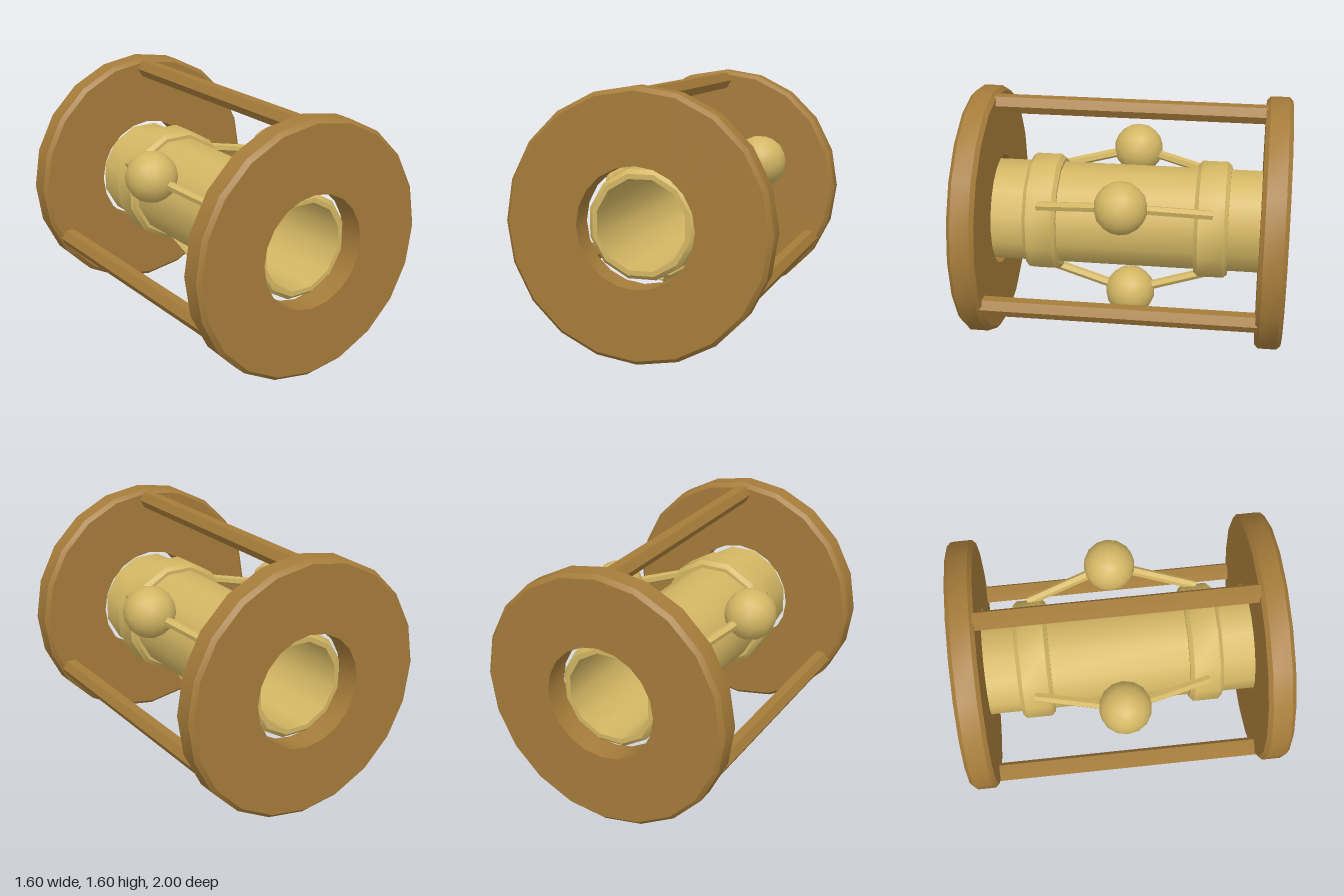
import * as THREE from 'three';
import { toCreasedNormals } from 'three/addons/utils/BufferGeometryUtils.js';

const AXIS_Y = 0.8;

export function createModel() {
  const model = new THREE.Group();
  const wood = new THREE.MeshStandardMaterial({ color: 0xa67c3a });
  wood.name = 'brown';
  const pale = new THREE.MeshStandardMaterial({ color: 0xd4b764 });
  pale.name = 'sand';

  const add = (name, geometry, material, x = 0, y = AXIS_Y, z = 0) => {
    const mesh = new THREE.Mesh(geometry, material);
    mesh.name = name;
    mesh.position.set(x, y, z);
    model.add(mesh);
    return mesh;
  };

  // Hollow ring around the z axis, with its outer edges chamfered
  const ring = (inner, outer, length, bevel, sides, start) => {
    const h = length / 2;
    const profile = [
      [inner, -h], [outer - bevel, -h], [outer, -h + bevel],
      [outer, h - bevel], [outer - bevel, h], [inner, h], [inner, -h],
    ].map(([r, t]) => new THREE.Vector2(r, t));
    const g = new THREE.LatheGeometry(profile, sides, start);
    g.rotateX(Math.PI / 2);
    return toCreasedNormals(g, 0.6);
  };

  // Six-sided rod between two points
  const rod = (name, a, b, radius, material) => {
    const dir = b.clone().sub(a);
    const g = new THREE.CylinderGeometry(radius, radius, dir.length(), 6);
    g.rotateY(Math.PI / 6);
    const mesh = add(name, toCreasedNormals(g, 0.6), material);
    mesh.position.copy(a).add(b).multiplyScalar(0.5);
    mesh.quaternion.setFromUnitVectors(new THREE.Vector3(0, 1, 0), dir.normalize());
  };

  const polar = (angle, r, z) =>
    new THREE.Vector3(Math.cos(angle) * r, AXIS_Y + Math.sin(angle) * r, z);

  // Central hollow tube
  add('tube', ring(0.275, 0.33, 1.8, 0.025, 12, Math.PI / 12), pale);

  // End discs and tube collars
  for (const [side, s] of [['front', 1], ['back', -1]]) {
    add(side + 'Disc', ring(0.355, 0.8, 0.165, 0.025, 20, 0), wood, 0, AXIS_Y, s * 0.9175);
    add(side + 'Collar', ring(0.31, 0.378, 0.21, 0.025, 12, Math.PI / 12), pale, 0, AXIS_Y, s * 0.535);
  }

  for (let i = 0; i < 3; i++) {
    // Long bars joining the discs
    const barAngle = Math.PI / 2 + (i * Math.PI * 2) / 3;
    rod('bar' + (i + 1), polar(barAngle, 0.73, -0.85), polar(barAngle, 0.73, 0.85), 0.06, wood);

    // Balls between the bars, each held by two struts
    const ballAngle = Math.PI / 6 + (i * Math.PI * 2) / 3;
    const p = polar(ballAngle, 0.55, 0);
    add('ball' + (i + 1), new THREE.IcosahedronGeometry(0.163, 2), pale, p.x, p.y, p.z);
    for (const s of [1, -1]) {
      rod((s > 0 ? 'frontStrut' : 'backStrut') + (i + 1), p, polar(ballAngle, 0.37, s * 0.54), 0.03, pale);
    }
  }
  return model;
}
